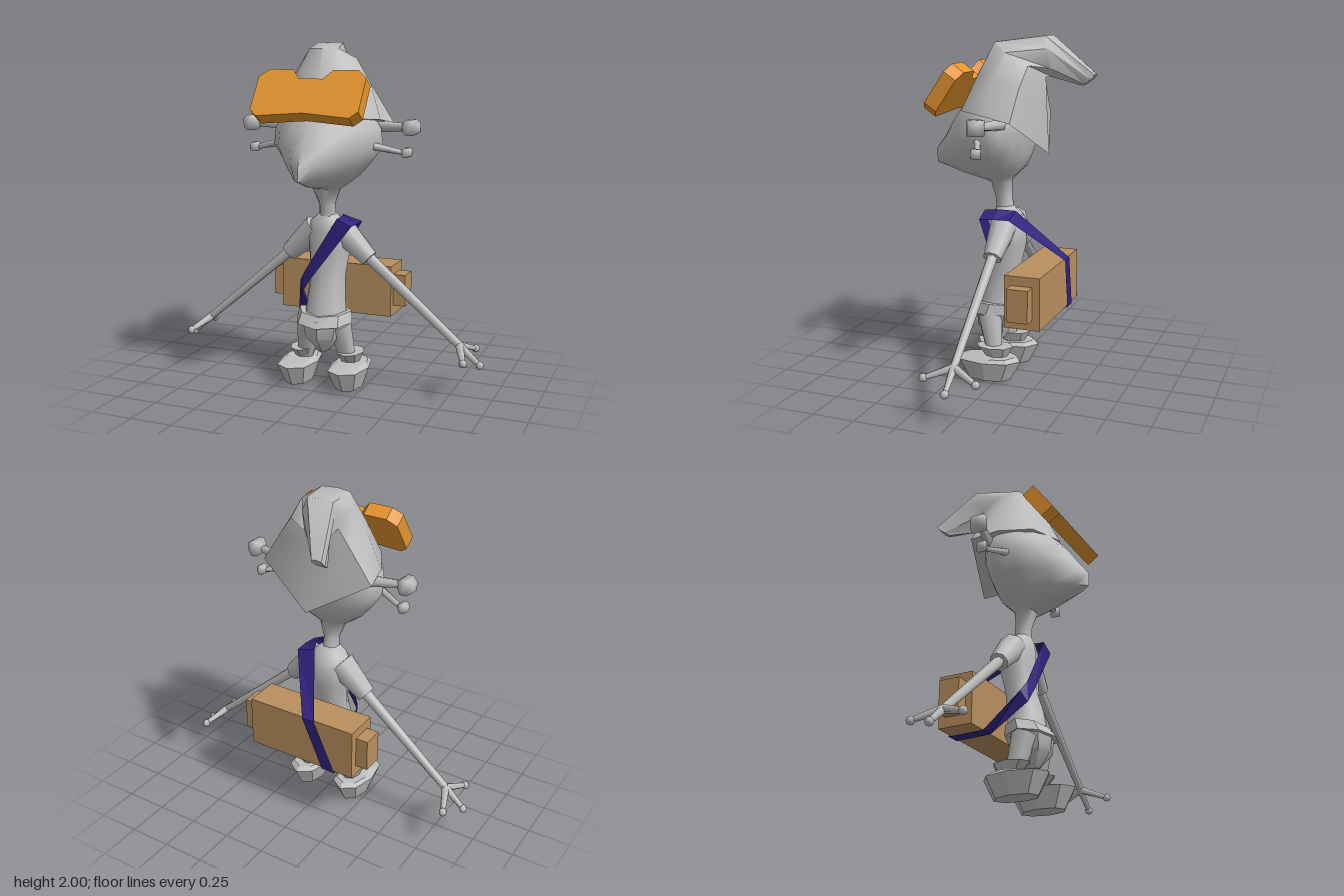
import * as THREE from 'three';
import { toCreasedNormals } from 'three/addons/utils/BufferGeometryUtils.js';

const V = (p) => new THREE.Vector3(...p);

// Closed skin over a stack of rings, bottom to top, each ring a list of [x, y, z]
function loft(rings, crease = 0.8) {
  const pos = [], n = rings[0].length;
  const tri = (a, b, c) => pos.push(...a, ...b, ...c);
  const mid = (r) => [0, 1, 2].map((k) => r.reduce((t, p) => t + p[k], 0) / n);
  const lo = rings[0], hi = rings[rings.length - 1], lc = mid(lo), hc = mid(hi);
  for (let j = 0; j < n; j++) {
    const k = (j + 1) % n;
    for (let i = 0; i + 1 < rings.length; i++) {
      const r = rings[i], q = rings[i + 1];
      tri(r[j], r[k], q[k]);
      tri(r[j], q[k], q[j]);
    }
    tri(lc, lo[k], lo[j]);
    tri(hc, hi[j], hi[k]);
  }
  const g = new THREE.BufferGeometry();
  g.setAttribute('position', new THREE.Float32BufferAttribute(pos, 3));
  return toCreasedNormals(g, crease);
}

// Level ring: half width, front z, back z, widest z, front power (1 is a point, 2 is round)
function ring(y, hx, zf, zb, { n = 8, cx = 0, zc = (zf + zb) / 2, p = 2, drop = 0 } = {}) {
  return Array.from({ length: n }, (_, i) => {
    const a = (i / n) * Math.PI * 2, s = Math.sin(a), c = Math.cos(a);
    const e = c > 0 ? 2 / p : 1;
    const x = Math.sign(s) * Math.abs(s) ** e, z = Math.sign(c) * Math.abs(c) ** e;
    return [cx + hx * x, y - drop * z * z, zc + z * (z > 0 ? zf - zc : zc - zb)];
  });
}

export function createModel() {
  const model = new THREE.Group();
  model.name = 'character';
  const mat = (name, color, side = THREE.FrontSide) =>
    Object.assign(new THREE.MeshStandardMaterial({ color, side }), { name });
  const grey = mat('grey', 0xbebebe);
  const orange = mat('orange', 0xe6952e);
  const tan = mat('tan', 0xb98f5e);
  const indigo = mat('indigo', 0x30237f, THREE.DoubleSide);

  const add = (name, geo, m = grey) => {
    const mesh = new THREE.Mesh(geo, m);
    mesh.name = name;
    model.add(mesh);
    return mesh;
  };
  // Tapered rod from a to b
  const rod = (name, a, b, ra, rb, sides = 6) => {
    const d = V(b).sub(V(a));
    const m = add(name, new THREE.CylinderGeometry(rb, ra, d.length(), sides));
    m.position.copy(V(a)).addScaledVector(d, 0.5);
    m.quaternion.setFromUnitVectors(new THREE.Vector3(0, 1, 0), d.normalize());
    return m;
  };

  // Head with a pointed snout, and neck
  add('head', loft([
    ring(0.99, 0.05, 0.07, -0.04, { n: 16 }),
    ring(1.07, 0.045, 0.075, -0.025, { n: 16 }),
    ring(1.165, 0.085, 0.1, -0.02, { n: 16 }),
    ring(1.2, 0.135, 0.28, -0.05, { n: 16, zc: 0.03, p: 1.5 }),
    ring(1.25, 0.2, 0.45, -0.1, { n: 16, zc: 0.02, p: 1.25 }),
    ring(1.33, 0.27, 0.455, -0.13, { n: 16, zc: 0.01, p: 1.3 }),
    ring(1.42, 0.332, 0.39, -0.15, { n: 16, zc: 0, p: 1.5 }),
    ring(1.52, 0.318, 0.325, -0.16, { n: 16, zc: 0, p: 1.7 }),
    ring(1.61, 0.26, 0.25, -0.15, { n: 16, zc: 0 }),
    ring(1.72, 0.12, 0.14, -0.1, { n: 16, zc: 0 }),
  ], 1));

  // Drooping cap: half rings from front to back, mirrored about a sideways shift
  const capRings = [
    { cx: 0, half: [[0, 1.6, 0.27], [0.22, 1.585, 0.2], [0.32, 1.57, 0.02], [0.35, 1.54, -0.14], [0, 1.335, -0.25]] },
    { cx: 0, half: [[0, 1.79, 0.18], [0.17, 1.78, 0.12], [0.25, 1.77, -0.01], [0.23, 1.72, -0.15], [0, 1.62, -0.235]] },
    { cx: -0.01, half: [[0, 1.965, 0.07], [0.09, 1.965, 0.05], [0.165, 1.91, -0.04], [0.15, 1.84, -0.17], [0, 1.77, -0.225]] },
    { cx: -0.08, half: [[0, 2.0, -0.21], [0.08, 2.0, -0.22], [0.1, 1.93, -0.24], [0.08, 1.82, -0.25], [0, 1.765, -0.24]] },
    { cx: -0.21, half: [[0, 1.78, -0.46], [0.03, 1.775, -0.46], [0.04, 1.75, -0.44], [0.03, 1.72, -0.4], [0, 1.71, -0.38]] },
  ];
  add('cap', loft(capRings.map(({ cx, half }) => [
    ...half.map(([x, y, z]) => [cx + x, y, z]),
    ...half.slice(1, 4).reverse().map(([x, y, z]) => [cx - x, y, z]),
  ]), 0.9));

  // Goggles: a thick notched plate leaning back on the brow
  const right = [[0, 1.805], [0.07, 1.8], [0.12, 1.85], [0.265, 1.85], [0.32, 1.81], [0.32, 1.635], [0.275, 1.602], [0, 1.622]];
  const outline = [...right, ...right.slice(1, 7).reverse().map(([x, y]) => [-x, y])];
  const plate = new THREE.Shape(outline.map(([x, y]) => new THREE.Vector2(x, (y - 1.735) / 0.82)));
  const goggles = add('goggles', new THREE.ExtrudeGeometry(plate, { depth: 0.085, bevelEnabled: false }), orange);
  goggles.position.set(0, 1.687, 0.24);
  goggles.rotation.x = -0.607;

  // Torso, belt and pelvis
  add('torso', loft([
    ring(0.4, 0.135, 0.17, -0.06),
    ring(0.52, 0.12, 0.15, -0.07),
    ring(0.65, 0.11, 0.11, -0.08),
    ring(0.8, 0.13, 0.1, -0.115),
    ring(0.91, 0.145, 0.1, -0.115),
    ring(0.97, 0.11, 0.09, -0.08),
    ring(1.02, 0.045, 0.065, -0.035),
  ], 1));
  add('belt', loft([
    ring(0.385, 0.175, 0.225, -0.075, { drop: 0.02 }),
    ring(0.45, 0.165, 0.18, -0.07, { drop: 0.025 }),
  ], 0.6));
  add('pelvis', loft([
    ring(0.2, 0.025, 0.12, 0.02),
    ring(0.29, 0.12, 0.19, -0.03),
    ring(0.4, 0.145, 0.2, -0.05),
  ], 0.6));

  for (const s of [1, -1]) {
    const at = (x, y, z) => [s * x, y, z];

    // Stalks with square knobs
    for (const [a, b, r, k] of [
      [at(0.27, 1.525, -0.06), at(0.47, 1.53, -0.005), 0.036, 0.062],
      [at(0.27, 1.43, 0.08), at(0.45, 1.388, 0.005), 0.024, 0.038],
    ]) {
      rod('stalk', a, b, r, r * 0.6);
      const prof = [[0.001, -0.75], [0.5, -0.7], [1, -0.25], [1, 0.35], [0.55, 0.85], [0.001, 0.9]];
      const knob = add('stalkKnob', new THREE.LatheGeometry(
        prof.map(([x, y]) => new THREE.Vector2(x * k, y * k)), 4, Math.PI / 4));
      knob.position.set(b[0] + s * 0.02, b[1], b[2]);
      knob.rotation.z = -s * Math.PI / 2;
    }

    // Sleeve, arm and three-fingered hand
    rod('sleeve', at(0.08, 0.92, -0.005), at(0.255, 0.76, 0), 0.085, 0.055, 8);
    rod('arm', at(0.2, 0.81, 0), at(0.8, 0.3, 0), 0.034, 0.023);
    const palm = at(0.8, 0.3, 0);
    for (const [x, y, z] of [[0.92, 0.195, 0], [0.86, 0.245, 0.15], [0.86, 0.245, -0.15]]) {
      rod('finger', palm, at(x, y, z), 0.024, 0.014);
      add('fingertip', new THREE.SphereGeometry(0.025, 6, 4)).position.set(s * x, y, z);
    }

    // Leg, cuff and boot
    rod('leg', at(0.095, 0.37, 0.08), at(0.14, 0.13, 0.03), 0.075, 0.045, 8);
    add('cuff', loft([
      ring(0.135, 0.05, 0.08, -0.05, { cx: s * 0.15 }),
      ring(0.198, 0.08, 0.14, -0.085, { cx: s * 0.15 }),
    ], 0.3));
    add('boot', loft([
      ring(0, 0.075, 0.195, -0.075, { cx: s * 0.16, p: 2.4 }),
      ring(0.12, 0.115, 0.26, -0.14, { cx: s * 0.16, p: 2.4 }),
      ring(0.14, 0.09, 0.14, -0.1, { cx: s * 0.16 }),
    ], 0.3));

    // End block of the pack
    add('packEnd', new THREE.BoxGeometry(0.08, 0.19, 0.125), tan).position.set(s * 0.385, 0.545, -0.2125);
  }

  // Pack on the back
  add('pack', new THREE.BoxGeometry(0.7, 0.305, 0.21), tan).position.set(0, 0.5425, -0.215);

  // Strap: closed band through pairs of edge points, over the shoulder and around the pack
  const band = [
    [[0.06, 1.0, -0.07], [0.18, 0.965, -0.07]],
    [[0.1, 1.01, 0.02], [0.185, 0.965, 0.02]],
    [[0.09, 1.0, 0.11], [0.18, 0.96, 0.11]],
    [[-0.11, 0.68, 0.105], [-0.06, 0.645, 0.125]],
    [[-0.15, 0.615, 0.08], [-0.125, 0.55, 0.115]],
    [[-0.24, 0.385, -0.1], [-0.16, 0.383, -0.1]],
    [[-0.235, 0.383, -0.325], [-0.15, 0.383, -0.325]],
    [[-0.11, 0.705, -0.345], [-0.03, 0.705, -0.345]],
  ];
  const strapPos = [];
  band.forEach(([a, b], i) => {
    const [c, d] = band[(i + 1) % band.length];
    strapPos.push(...a, ...c, ...d, ...a, ...d, ...b);
  });
  const strap = new THREE.BufferGeometry();
  strap.setAttribute('position', new THREE.Float32BufferAttribute(strapPos, 3));
  strap.computeVertexNormals();
  add('strap', strap, indigo);

  return model;
}
